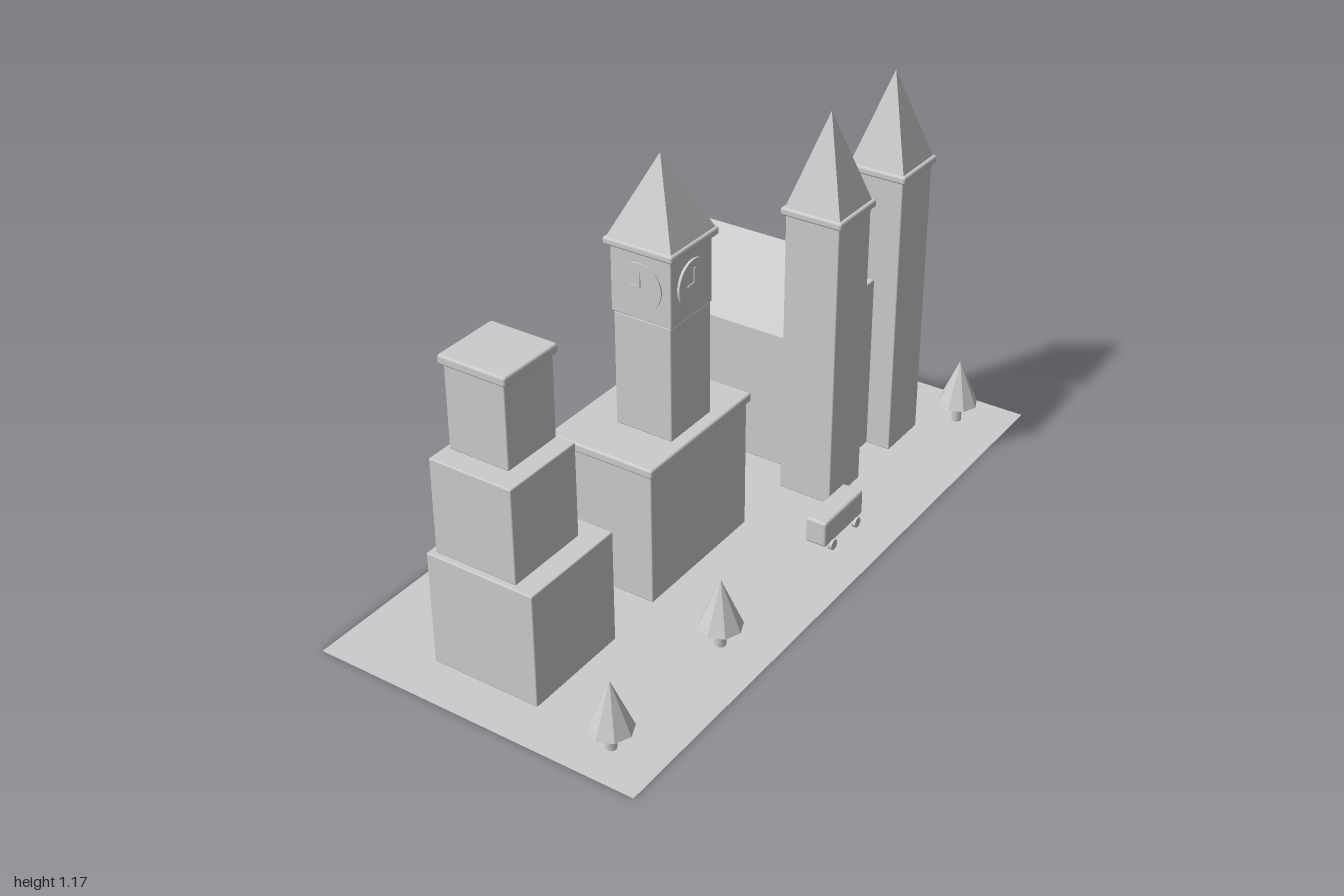
import * as THREE from 'three';
import { toCreasedNormals } from 'three/addons/utils/BufferGeometryUtils.js';
import { RoundedBoxGeometry } from 'three/addons/geometries/RoundedBoxGeometry.js';

const stone = new THREE.MeshStandardMaterial({ color: 0xcccccc });
stone.name = 'pale grey';
const ground = new THREE.MeshStandardMaterial({ color: 0xcccccc, side: THREE.DoubleSide });
ground.name = 'ground grey';

function add(parent, name, geometry, x = 0, y = 0, z = 0) {
  const mesh = new THREE.Mesh(geometry, stone);
  mesh.name = name;
  mesh.position.set(x, y, z);
  parent.add(mesh);
  return mesh;
}

function group(parent, name, x = 0, z = 0) {
  const g = new THREE.Group();
  g.name = name;
  g.position.set(x, 0, z);
  parent.add(g);
  return g;
}

// Softly rounded block given by its extents on each axis
function block(parent, name, [x0, x1], [y0, y1], [z0, z1], r = 0.004) {
  const geo = new RoundedBoxGeometry(x1 - x0, y1 - y0, z1 - z0, 2, r);
  return add(parent, name, geo, (x0 + x1) / 2, (y0 + y1) / 2, (z0 + z1) / 2);
}

// Square pyramid standing on y
function spire(parent, half, y, height, x, z) {
  const geo = new THREE.ConeGeometry(half * Math.SQRT2, height, 4).rotateY(Math.PI / 4);
  add(parent, 'spire', toCreasedNormals(geo, 0.3), x, y + height / 2, z);
}

// Round clock facing local +z, hands at nine o'clock
function clock(parent, radius, x, y, z, turn) {
  const g = group(parent, 'clock', x, z);
  g.position.y = y;
  g.rotation.y = turn;
  add(g, 'clockFace', new THREE.CylinderGeometry(radius, radius, 0.012, 32).rotateX(Math.PI / 2));
  add(g, 'minuteHand', new THREE.BoxGeometry(0.006, 0.045, 0.004), 0, 0.02, 0.007);
  add(g, 'hourHand', new THREE.BoxGeometry(0.032, 0.006, 0.004), -0.014, 0, 0.007);
}

function tree(parent, x, z) {
  const g = group(parent, 'tree', x, z);
  add(g, 'trunk', new THREE.CylinderGeometry(0.015, 0.015, 0.06, 8), 0, 0.03, 0);
  const crown = toCreasedNormals(new THREE.ConeGeometry(0.06, 0.14, 8), 0.3);
  add(g, 'crown', crown, 0, 0.13, 0);
}

export function createModel() {
  const model = new THREE.Group();
  model.name = 'townModel';

  add(model, 'ground', new THREE.PlaneGeometry(0.96, 2).rotateX(-Math.PI / 2)).material = ground;

  // Stepped tower
  const stepped = group(model, 'steppedTower');
  block(stepped, 'lowerTier', [-0.22, 0.103], [0, 0.33], [0.55, 0.872]);
  block(stepped, 'middleTier', [-0.202, 0.044], [0.33, 0.6], [0.61, 0.857]);
  block(stepped, 'upperTier', [-0.187, -0.008], [0.6, 0.835], [0.616, 0.798]);
  block(stepped, 'roofSlab', [-0.198, 0.003], [0.833, 0.86], [0.608, 0.808], 0.007);

  // Clock tower on its hall
  const hall = group(model, 'clockHall');
  block(hall, 'hallBody', [-0.212, 0.095], [0, 0.39], [-0.067, 0.375]);
  block(hall, 'hallRoof', [-0.222, 0.104], [0.388, 0.415], [-0.077, 0.385], 0.007);
  block(hall, 'shaft', [-0.106, 0.068], [0.415, 0.745], [0.066, 0.244]);
  block(hall, 'clockBlock', [-0.112, 0.071], [0.745, 0.935], [0.064, 0.246]);
  block(hall, 'cornice', [-0.126, 0.084], [0.933, 0.955], [0.05, 0.26], 0.007);
  spire(hall, 0.097, 0.955, 0.213, -0.021, 0.155);
  clock(hall, 0.065, 0.072, 0.84, 0.155, Math.PI / 2);
  clock(hall, 0.065, -0.021, 0.84, 0.244, 0);
  clock(hall, 0.065, -0.021, 0.84, 0.066, Math.PI);

  // Church with twin towers
  const church = group(model, 'church');
  block(church, 'nave', [-0.425, 0.1], [0, 0.427], [-0.685, -0.365]);
  const gable = new THREE.Shape([
    new THREE.Vector2(-0.17, 0), new THREE.Vector2(0.17, 0), new THREE.Vector2(0, 0.203),
  ]);
  const roof = new THREE.ExtrudeGeometry(gable, { depth: 0.54, bevelEnabled: false });
  add(church, 'gableRoof', roof.rotateY(Math.PI / 2), -0.435, 0.426, -0.525);
  block(church, 'facade', [0.08, 0.17], [0, 0.54], [-0.61, -0.43]);
  clock(church, 0.065, 0.172, 0.4, -0.52, Math.PI / 2);
  for (const z of [-0.352, -0.69]) {
    const tower = group(church, 'bellTower', 0.162, z);
    block(tower, 'towerShaft', [-0.082, 0.082], [0, 0.857], [-0.082, 0.082]);
    block(tower, 'towerCornice', [-0.093, 0.093], [0.855, 0.878], [-0.093, 0.093], 0.007);
    spire(tower, 0.083, 0.878, 0.262, 0, 0);
  }

  // Trees
  for (const [x, z] of [[0.328, -0.87], [-0.33, -0.012], [-0.35, 0.44], [0.335, 0.42], [0.335, 0.887]]) {
    tree(model, x, z);
  }

  // Bus
  const bus = group(model, 'bus', 0.326, -0.155);
  block(bus, 'busBody', [-0.032, 0.032], [0.022, 0.1], [-0.1, 0.1], 0.008);
  for (const x of [-0.033, 0.033]) {
    for (const z of [-0.063, 0.063]) {
      add(bus, 'wheel', new THREE.CylinderGeometry(0.015, 0.015, 0.012, 16).rotateZ(Math.PI / 2), x, 0.015, z);
    }
  }
  return model;
}
